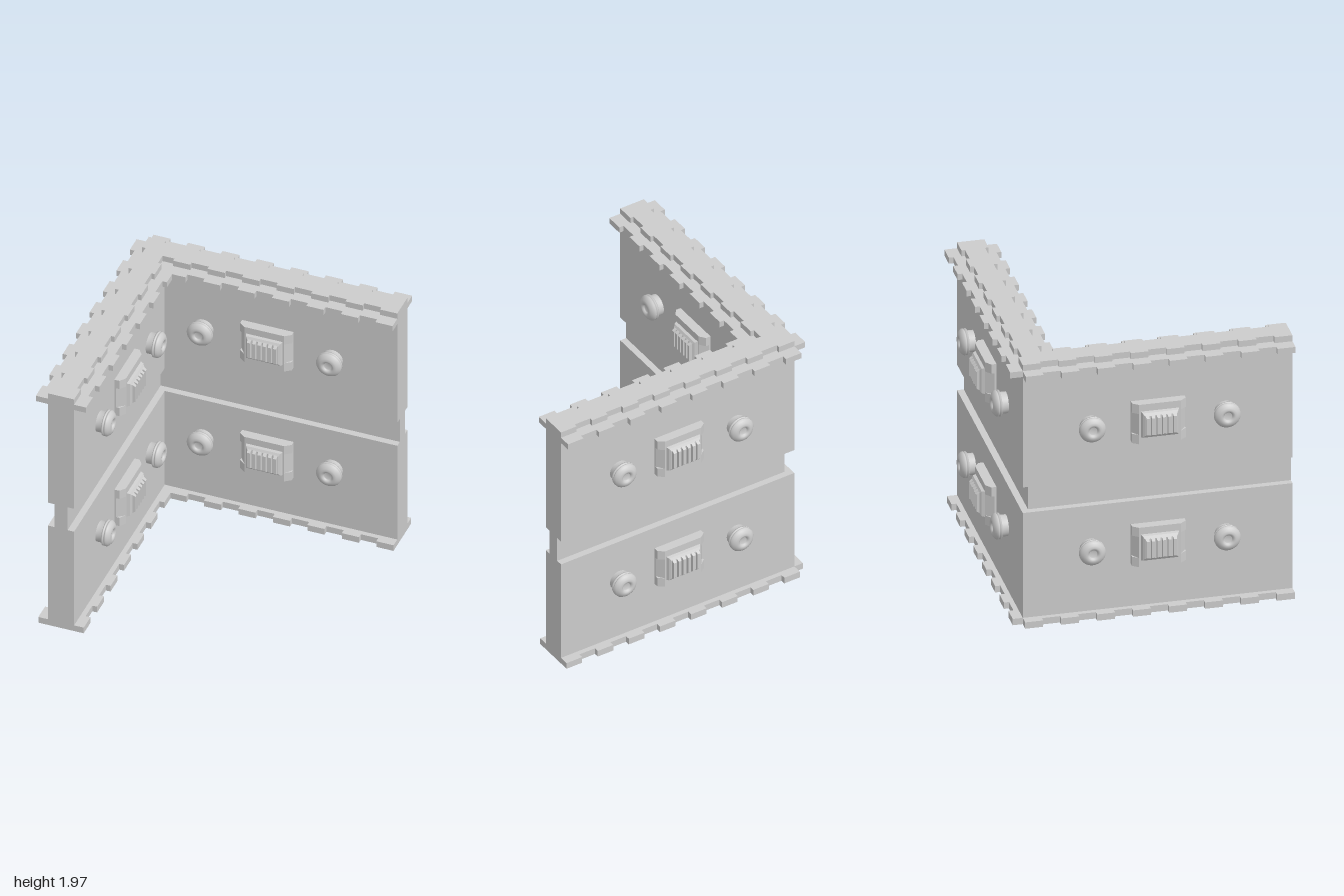
import * as THREE from 'three';

const mat = new THREE.MeshStandardMaterial({ color: 0xcccccc, flatShading: true, side: THREE.DoubleSide });
const smooth = new THREE.MeshStandardMaterial({ color: 0xcccccc });
const MID = -0.785; // centre line of both walls
const FACE = 0.095; // half thickness of the walls
const START = -0.88, TOOTH = 1.88 / 15;

function mesh(name, geometry, material = mat) {
  const m = new THREE.Mesh(geometry, material);
  m.name = name;
  return m;
}

// L-shaped slab; its edges step between the tip and gap half-widths
function slab(name, y0, y1, tip, gap = tip) {
  const half = (k) => (k % 2 ? gap : tip);
  const at = (k) => START + k * TOOTH;
  const s = Math.max(START, MID - tip);
  const arm = [];
  const add = (x, z) => {
    const p = arm[arm.length - 1];
    if (!p || Math.hypot(p[0] - x, p[1] - z) > 1e-4) arm.push([x, z]);
  };
  add(s, s);
  for (let k = 0; k < 15; k++) {
    add(k ? at(k) : s, MID - half(k));
    add(at(k + 1), MID - half(k));
  }
  for (let k = 14; k >= 0; k--) {
    const edge = MID + half(k);
    add(at(k + 1), edge);
    if (at(k) < edge) {
      add(edge, edge);
      break;
    }
    add(at(k), edge);
  }
  // the second arm is the first with x and z swapped
  const other = arm.slice(1, -1).reverse().map(([x, z]) => [z, x]);
  const shape = new THREE.Shape([...arm, ...other].map(([x, z]) => new THREE.Vector2(x, z)));
  const g = new THREE.ExtrudeGeometry(shape, { depth: y1 - y0, bevelEnabled: false });
  g.rotateX(Math.PI / 2).translate(0, y1, 0);
  return mesh(name, g);
}

// Box that tapers toward its front face
function taperBox(w, h, w2, h2, z0, z1) {
  const g = new THREE.BoxGeometry(w, h, z1 - z0).translate(0, 0, (z0 + z1) / 2);
  const p = g.attributes.position;
  for (let i = 0; i < p.count; i++) {
    if (p.getZ(i) > z1 - 1e-4) p.setXY(i, p.getX(i) * w2 / w, p.getY(i) * h2 / h);
  }
  g.computeVertexNormals();
  return g;
}

// Plate with chamfered left and right edges
function chamferPlate(height, y, edge) {
  const pts = [[-0.1875, 0], [0.1875, 0], [0.1875, edge], [0.145, 0.068], [-0.145, 0.068], [-0.1875, edge]];
  const shape = new THREE.Shape(pts.map(([x, z]) => new THREE.Vector2(x, -z)));
  const g = new THREE.ExtrudeGeometry(shape, { depth: height, bevelEnabled: false });
  return g.rotateX(-Math.PI / 2).translate(0, y - height / 2, 0);
}

function vent() {
  const g = new THREE.Group();
  g.name = 'vent';
  // bracket, with a waist at mid height
  g.add(mesh('bracketTop', chamferPlate(0.07, 0.115, 0.036)));
  g.add(mesh('bracketMiddle', chamferPlate(0.16, 0, 0.012)));
  g.add(mesh('bracketBottom', chamferPlate(0.07, -0.115, 0.036)));
  // raised housing with upright grille bars
  g.add(mesh('ventHousing', taperBox(0.275, 0.2, 0.25, 0.185, 0.06, 0.088)));
  g.add(mesh('ventFace', taperBox(0.25, 0.185, 0.225, 0.15, 0.088, 0.1)));
  for (let i = 0; i < 6; i++) {
    const bar = mesh('ventBar', taperBox(0.028, 0.16, 0.022, 0.125, 0.095, 0.12));
    bar.position.x = (i - 2.5) * 0.038;
    g.add(bar);
  }
  return g;
}

// Round stud: neck, thin collar, domed cap with a dimple
const studProfile = [
  [0.075, 0], [0.075, 0.045], [0.09, 0.047], [0.092, 0.056], [0.084, 0.06], [0.084, 0.064],
  [0.092, 0.068], [0.091, 0.076], [0.082, 0.088], [0.066, 0.1], [0.05, 0.105], [0.038, 0.102],
  [0.03, 0.093], [0.027, 0.085], [0, 0.085],
].map(([r, h]) => new THREE.Vector2(r, h));

function stud() {
  return mesh('stud', new THREE.LatheGeometry(studProfile, 32).rotateX(Math.PI / 2), smooth);
}

export function createModel() {
  const model = new THREE.Group();
  model.name = 'cornerWall';

  // wall layers from the ground up
  model.add(slab('baseTrim', 0, 0.048, 0.165, 0.13));
  model.add(slab('lowerWall', 0.048, 0.845, FACE));
  model.add(slab('grooveBand', 0.845, 1.04, 0.0475));
  model.add(slab('upperWall', 1.04, 1.88, FACE));
  model.add(slab('topTrim', 1.88, 1.925, 0.183, 0.15));
  model.add(slab('topCap', 1.925, 1.97, FACE, 0.07));

  // fittings on the inner and outer face of each wall, in two rows
  const sides = [
    ['backInner', 0, 1], ['backOuter', Math.PI, -1],
    ['sideInner', Math.PI / 2, 1], ['sideOuter', -Math.PI / 2, -1],
  ];
  sides.forEach(([name, turn, dir], i) => {
    for (const y of [0.52, 1.455]) {
      const set = new THREE.Group();
      set.name = name + 'Fittings';
      set.add(vent());
      for (const x of [-0.47, 0.47]) {
        const s = stud();
        s.position.x = x;
        set.add(s);
      }
      const depth = MID + dir * FACE;
      if (i < 2) set.position.set(0.06, y, depth);
      else set.position.set(depth, y, 0.06);
      set.rotation.y = turn;
      model.add(set);
    }
  });
  return model;
}
